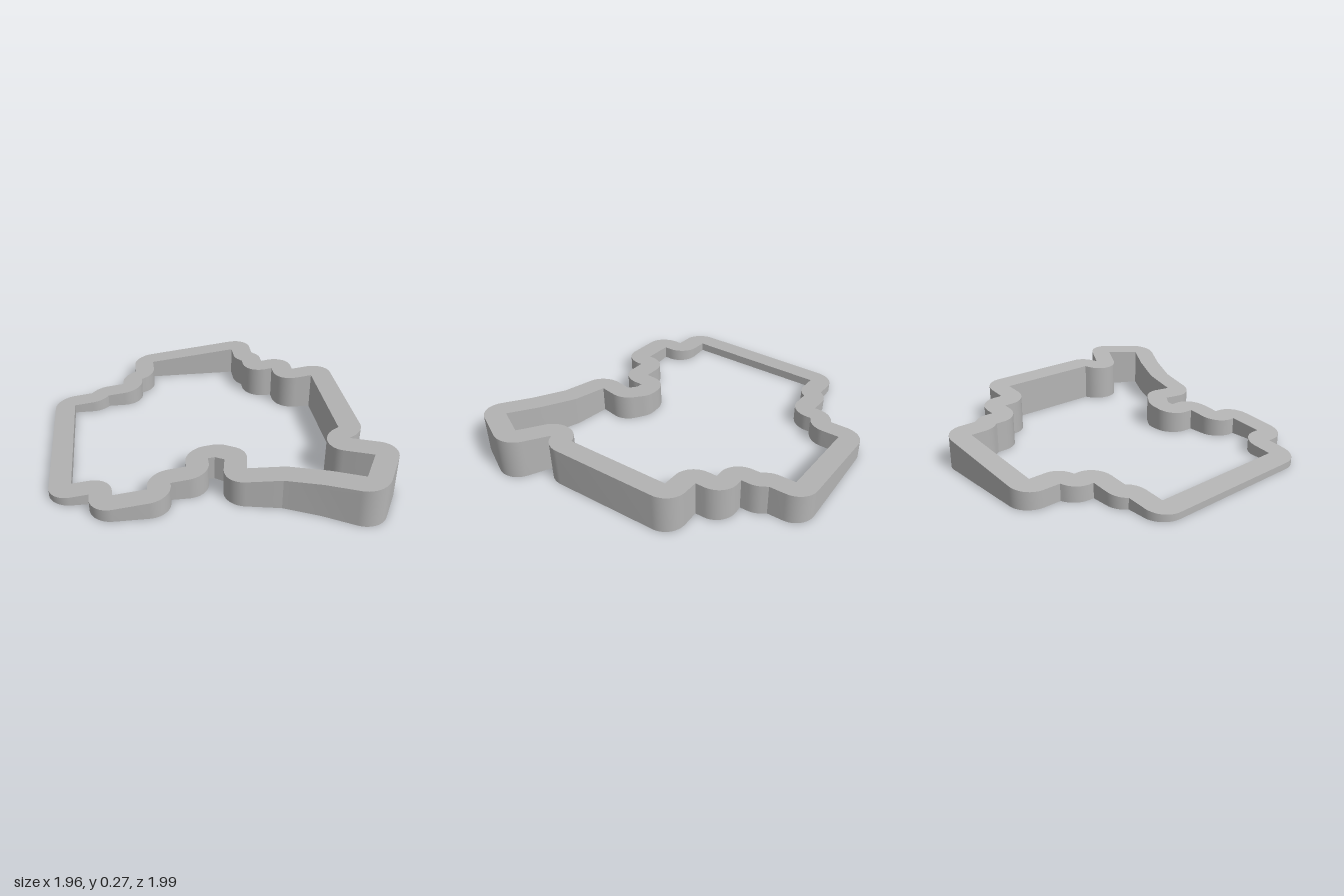
import * as THREE from 'three';
import { toCreasedNormals } from 'three/addons/utils/BufferGeometryUtils.js';

const WALL = 0.13;
const topHeight = (x) => 0.153 + 0.1145 * x; // the top is one sloping plane

// Pivots clockwise seen from above: 'i' = sharp inner corner with a round outside,
// 'o' = sharp outer corner with a round inside.
const PIVOTS = [
  // back edge and back right steps
  ['i', -0.297, -0.868], ['i', 0.283, -0.868], ['o', 0.413, -0.768], ['i', 0.325, -0.666],
  ['o', 0.455, -0.617], ['i', 0.503, -0.489], ['o', 0.633, -0.433], ['i', 0.734, -0.304],
  // right side and the slanted arm
  ['i', 0.734, 0.358], ['o', 0.764, 0.487], ['i', 0.851, 0.687], ['i', 0.75, 0.867],
  ['o', 0.513, 0.876], ['o', 0.312, 0.78], ['i', 0.138, 0.611],
  // front notch
  ['o', 0.029, 0.49], ['o', -0.022, 0.452], ['o', -0.063, 0.452],
  // front left steps
  ['i', -0.193, 0.496], ['o', -0.297, 0.627], ['i', -0.425, 0.648], ['i', -0.622, 0.648],
  ['o', -0.752, 0.606], ['i', -0.853, 0.475],
  // left side and back left steps
  ['i', -0.853, -0.416], ['o', -0.735, -0.547], ['i', -0.628, -0.476], ['o', -0.52, -0.606],
  ['i', -0.39, -0.634], ['o', -0.427, -0.76],
];

// Heading of the straight wall between two pivots
function heading([ta, xa, za], [tb, xb, zb]) {
  const dx = xb - xa, dz = zb - za;
  const side = ta === tb ? 0 : ta === 'i' ? WALL : -WALL;
  const lean = THREE.MathUtils.clamp(side / Math.hypot(dx, dz), -1, 1);
  return Math.atan2(dz, dx) + Math.asin(lean);
}

// Cross-sections of the wall: outer and inner point, swung around each pivot
function wallSections() {
  const sections = [];
  const n = PIVOTS.length;
  PIVOTS.forEach((p, k) => {
    const [type, x, z] = p;
    const from = heading(PIVOTS[(k + n - 1) % n], p);
    const turn = heading(p, PIVOTS[(k + 1) % n]) - from;
    const swing = Math.atan2(Math.sin(turn), Math.cos(turn));
    const steps = Math.max(1, Math.ceil(Math.abs(swing) / 0.1));
    for (let s = 0; s <= steps; s++) {
      const a = from + (swing * s) / steps;
      const ox = Math.sin(a) * WALL, oz = -Math.cos(a) * WALL;
      sections.push(type === 'i'
        ? { outer: [x + ox, z + oz], inner: [x, z] }
        : { outer: [x, z], inner: [x - ox, z - oz] });
    }
  });
  return sections;
}

function wallGeometry() {
  const rings = wallSections().map(({ outer: [ox, oz], inner: [ix, iz] }) => [
    new THREE.Vector3(ox, 0, oz), new THREE.Vector3(ox, topHeight(ox), oz),
    new THREE.Vector3(ix, topHeight(ix), iz), new THREE.Vector3(ix, 0, iz),
  ]);
  const positions = [];
  const addTriangle = (a, b, c) => {
    if (new THREE.Triangle(a, b, c).getArea() < 1e-8) return;
    for (const v of [a, b, c]) positions.push(v.x, v.y, v.z);
  };
  rings.forEach((r, i) => {
    const next = rings[(i + 1) % rings.length];
    for (let k = 0; k < 4; k++) {
      const m = (k + 1) % 4;
      addTriangle(r[k], r[m], next[m]);
      addTriangle(r[k], next[m], next[k]);
    }
  });
  const geometry = new THREE.BufferGeometry();
  geometry.setAttribute('position', new THREE.Float32BufferAttribute(positions, 3));
  return toCreasedNormals(geometry, 0.2);
}

export function createModel() {
  const grey = new THREE.MeshStandardMaterial({ color: 0xb4b4b4 });
  grey.name = 'light grey';
  const wall = new THREE.Mesh(wallGeometry(), grey);
  wall.name = 'outlineWall';
  const model = new THREE.Group();
  model.name = 'slopedOutlineFrame';
  model.add(wall);
  return model;
}
